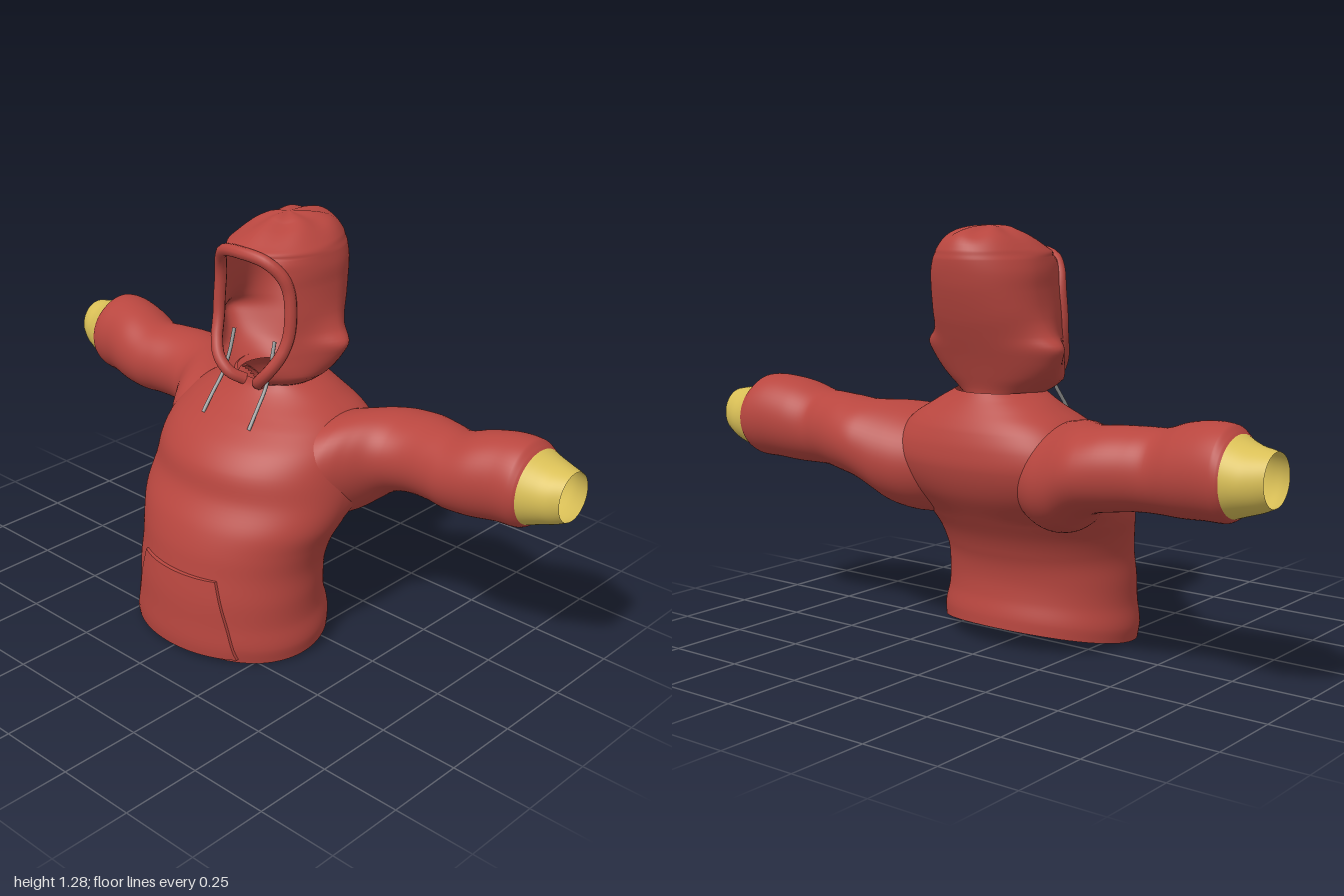
import * as THREE from 'three';
import { toCreasedNormals } from 'three/addons/utils/BufferGeometryUtils.js';

const fabric = new THREE.MeshStandardMaterial({ color: 0xb8463f, side: THREE.DoubleSide });
fabric.name = 'red fabric';
const ribbing = new THREE.MeshStandardMaterial({ color: 0xdac057, side: THREE.DoubleSide });
ribbing.name = 'yellow ribbing';
const cord = new THREE.MeshStandardMaterial({ color: 0xa0a2a2 });
cord.name = 'grey cord';

// Smoothly interpolates a table of rows [key, a, b, c...] at key k
function sample(rows, k) {
  let i = 0;
  while (i < rows.length - 2 && k > rows[i + 1][0]) i++;
  const p = rows[i], q = rows[i + 1], h = q[0] - p[0];
  const t = Math.min(1, Math.max(0, (k - p[0]) / h));
  const slope = (j, c) => {
    const a = rows[Math.max(0, j - 1)], b = rows[Math.min(rows.length - 1, j + 1)];
    return (b[c] - a[c]) / (b[0] - a[0]);
  };
  return p.slice(1).map((v, n) => {
    const c = n + 1, t2 = t * t, t3 = t2 * t;
    return (2 * t3 - 3 * t2 + 1) * v + (t3 - 2 * t2 + t) * h * slope(i, c)
      + (3 * t2 - 2 * t3) * q[c] + (t3 - t2) * h * slope(i + 1, c);
  });
}

// Keys of a table, each interval cut into n steps
function steps(rows, n) {
  const keys = [];
  for (let i = 0; i < rows.length - 1; i++)
    for (let j = 0; j < n; j++) keys.push(rows[i][0] + (rows[i + 1][0] - rows[i][0]) * j / n);
  keys.push(rows[rows.length - 1][0]);
  return keys;
}

// Grid surface: point(i, j) gives [x, y, z]; loops close on themselves if closed.
// Quads whose corners are all hidden are left out.
function surface(nu, nv, closed, point, hidden = () => false) {
  const pos = [], gone = [], index = [], row = closed ? nu : nu + 1;
  for (let j = 0; j <= nv; j++)
    for (let i = 0; i < row; i++) {
      const p = point(i, j);
      pos.push(...p);
      gone.push(hidden(...p));
    }
  for (let j = 0; j < nv; j++)
    for (let i = 0; i < nu; i++) {
      const a = j * row + i, b = j * row + (i + 1) % row, c = a + row, d = b + row;
      if (!(gone[a] && gone[b] && gone[c] && gone[d])) index.push(a, b, d, a, d, c);
    }
  const g = new THREE.BufferGeometry();
  g.setAttribute('position', new THREE.Float32BufferAttribute(pos, 3));
  g.setIndex(index);
  g.computeVertexNormals();
  return g;
}

// height, front z, back z, half width
const TORSO = [
  [0, .355, -.165, .325], [.05, .362, -.163, .33], [.12, .36, -.152, .318], [.2, .357, -.15, .315],
  [.28, .347, -.163, .312], [.35, .335, -.192, .325], [.42, .31, -.24, .348], [.5, .265, -.298, .355],
  [.58, .245, -.328, .345], [.64, .2, -.328, .33], [.69, .135, -.315, .3], [.72, .09, -.3, .27],
  [.75, .05, -.28, .222], [.775, .025, -.262, .182], [.8, .015, -.245, .135],
];
// distance from middle, bottom y, top y, front z, back z; the inner end lies inside the torso
const SLEEVE = [
  [.15, .42, .7, .1, -.255], [.2, .4, .712, .11, -.29], [.25, .395, .722, .097, -.318],
  [.3, .405, .733, .07, -.338], [.33, .42, .738, .04, -.349], [.36, .445, .741, 0, -.358],
  [.4, .476, .742, -.048, -.367], [.44, .494, .743, -.073, -.367], [.5, .505, .749, -.087, -.355],
  [.58, .513, .751, -.08, -.331], [.64, .512, .752, -.072, -.318], [.72, .513, .777, -.075, -.335],
  [.8, .52, .79, -.093, -.347], [.86, .522, .787, -.1, -.352], [.88, .53, .772, -.107, -.35],
  [.888, .538, .764, -.113, -.346],
];
const CUFF = [
  [.888, .538, .764, -.113, -.346], [.91, .546, .753, -.122, -.342], [.94, .556, .742, -.135, -.335],
  [.97, .566, .736, -.147, -.322], [1, .58, .73, -.164, -.307],
];
// height, half width, front z, back z, half width of the face opening
const HOOD = [
  [.785, .12, .01, -.21, .03], [.81, .16, .045, -.215, .06], [.85, .207, .05, -.23, .1],
  [.9, .238, .03, -.25, .13], [.935, .248, .015, -.265, .14], [.97, .215, .005, -.28, .145],
  [1.02, .192, 0, -.3, .147], [1.1, .178, 0, -.325, .14], [1.15, .174, .015, -.335, .125],
  [1.19, .164, .04, -.339, .085], [1.205, .158, .06, -.337, 0], [1.22, .147, .035, -.334, 0],
  [1.25, .115, -.02, -.315, 0], [1.27, .08, -.07, -.28, 0], [1.282, .045, -.1, -.22, 0],
  [1.287, 0, -.15, -.15, 0],
];

// The upper back is flatter between the shoulders
const backDepth = (c, y) => c ** (1 - .55 * Math.max(0, 1 - ((y - .6) / .18) ** 2));

// Tests that find the cloth buried where torso and sleeves meet
function insideTorso(x, y, z) {
  const [f, b, w] = sample(TORSO, y), s = Math.abs(x) / w;
  if (s > .97) return false;
  const c = Math.sqrt(1 - s * s), d = (z - (f + b) / 2) / ((f - b) / 2);
  return d > 0 ? d < .94 * c : -d < .94 * backDepth(c, y);
}

function insideSleeve(x, y, z) {
  if (Math.abs(x) < .15) return false;
  const [low, high, front, back] = sample(SLEEVE, Math.abs(x));
  return Math.hypot((2 * y - low - high) / (high - low), (2 * z - front - back) / (front - back)) < .94;
}

function torsoGeometry() {
  const ys = steps(TORSO, 6), n = 128;
  return surface(n, ys.length - 1, true, (i, j) => {
    const y = ys[j], [f, b, w] = sample(TORSO, y), a = i / n * 2 * Math.PI, c = Math.cos(a);
    // The hem rises towards the back
    const lift = (.07 * ((1 - c) / 2) ** 2 + .015 * Math.max(0, c) ** 4) * Math.max(0, 1 - y / .3);
    return [w * Math.sin(a), y + lift, (f + b) / 2 + (f - b) / 2 * (c < 0 ? -backDepth(-c, y) : c)];
  }, insideSleeve);
}

function armGeometry(table, side) {
  const xs = steps(table, 6), n = 64;
  return surface(n, xs.length - 1, true, (i, j) => {
    const [low, high, front, back] = sample(table, xs[j]), a = side * i / n * 2 * Math.PI;
    return [side * xs[j], (low + high) / 2 + (high - low) / 2 * Math.cos(a),
      (front + back) / 2 + (front - back) / 2 * Math.sin(a)];
  }, insideTorso);
}

function hoodGeometry() {
  const ys = steps(HOOD, 4), n = 72;
  return surface(n, ys.length - 1, false, (i, j) => {
    const y = ys[j], [w0, f, b, o] = sample(HOOD, y), w = Math.max(0, w0), core = Math.min(w, .188);
    const start = w > .01 ? Math.asin(Math.min(.95, Math.max(0, o) / core)) : 0;
    const a = start + (2 * Math.PI - 2 * start) * i / n, c = Math.cos(a);
    const z = (f + b) / 2 + (f - b) / 2 * (c > 0 ? c / Math.cos(start) : c);
    // Folds sticking out at the sides, and small pleats gathered round the crown
    const fold = (w - core) * Math.exp(-(((z + .145) / .075) ** 2));
    const pleat = .004 * Math.cos(6 * a) * Math.min(1, Math.max(0, (y - 1.21) / .05)) * Math.min(1, w / .08);
    return [(core + fold) * Math.sin(a), y + pleat, z];
  });
}

function rimGeometry() {
  const half = HOOD.slice(0, 10).map(([y, , f, , o]) => new THREE.Vector3(o, y, f));
  const path = [...half, new THREE.Vector3(0, 1.203, .053),
    ...half.map(p => new THREE.Vector3(-p.x, p.y, p.z)).reverse()];
  return new THREE.TubeGeometry(new THREE.CatmullRomCurve3(path), 100, .019, 10);
}

// Pocket panel following the belly, with its border turned in
function pocketGeometry() {
  const nu = 26, nv = 16;
  const clamp = (k, n) => Math.min(1, Math.max(0, (k - 1) / (n - 2)));
  const g = surface(nu, nv, false, (i, j) => {
    const v = clamp(j, nv), y = .02 + .255 * v, [f, b, w] = sample(TORSO, y);
    const u = clamp(i, nu) * 2 - 1, x = u * (.217 - .067 * v);
    const edge = i === 0 || j === 0 || i === nu || j === nv;
    const offset = edge ? .001 : .014 - .004 * u ** 4;
    return [x, y, (f + b) / 2 + (f - b) / 2 * Math.sqrt(1 - (x / w) ** 2) + offset];
  });
  return toCreasedNormals(g, .4);
}

export function createModel() {
  const model = new THREE.Group();
  model.name = 'hoodedSweatshirt';
  const add = (name, geometry, material) => {
    const mesh = new THREE.Mesh(geometry, material);
    mesh.name = name;
    model.add(mesh);
  };
  add('torso', torsoGeometry(), fabric);
  add('frontPocket', pocketGeometry(), fabric);
  add('hood', hoodGeometry(), fabric);
  add('hoodRim', rimGeometry(), fabric);

  for (const side of [1, -1]) {
    const label = side > 0 ? 'left' : 'right';
    add(label + 'Sleeve', armGeometry(SLEEVE, side), fabric);
    add(label + 'Cuff', armGeometry(CUFF, side), ribbing);
    // Drawstring hanging out of the hood opening
    const line = [[.084, .935, 0], [.086, .86, .02], [.09, .8, .045], [.094, .745, .085], [.097, .69, .125]]
      .map(([x, y, z]) => new THREE.Vector3(side * x, y, z));
    add(label + 'Drawstring', new THREE.TubeGeometry(new THREE.CatmullRomCurve3(line), 24, .006, 6), cord);
  }
  return model;
}
